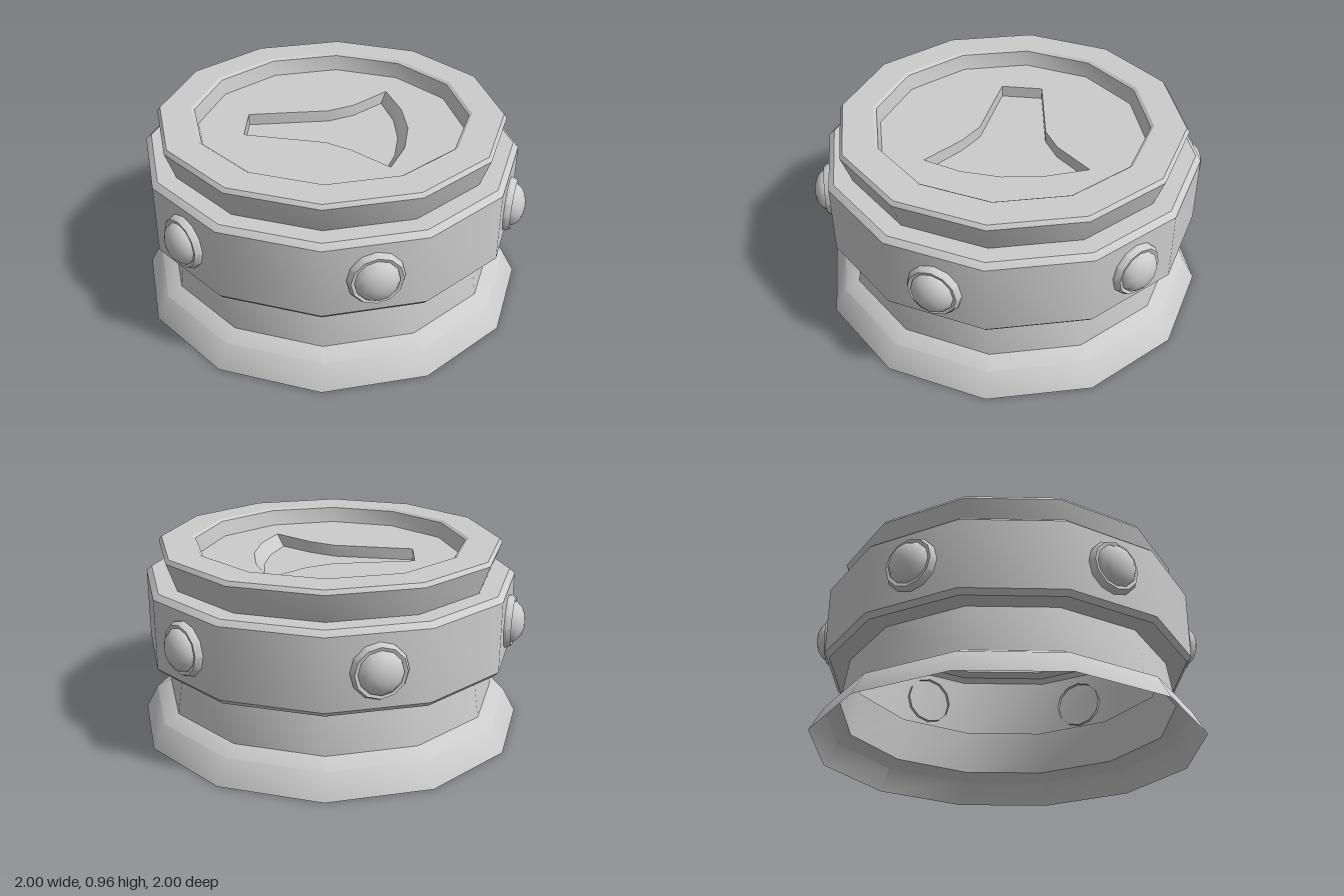
import * as THREE from 'three';
import { toCreasedNormals } from 'three/addons/utils/BufferGeometryUtils.js';

const SIDES = 12;
const FLOOR_Y = 0.87;
const RECESS_Y = 0.81;
const FLOOR_R = 0.675;

const material = new THREE.MeshStandardMaterial({ color: 0xcccccc, side: THREE.DoubleSide });

function addMesh(parent, name, geometry) {
  const mesh = new THREE.Mesh(geometry, material);
  mesh.name = name;
  parent.add(mesh);
  return mesh;
}

// Revolved profile: smooth around, sharp at the horizontal edges
function lathe(profile, crease) {
  const points = profile.map(([r, y]) => new THREE.Vector2(r, y));
  return toCreasedNormals(new THREE.LatheGeometry(points, SIDES), crease);
}

// Flat horizontal face from an [x, z] outline, with optional hole
function flatFace(outline, y, hole) {
  const toVec = ([x, z]) => new THREE.Vector2(x, -z);
  const shape = new THREE.Shape(outline.map(toVec));
  if (hole) shape.holes.push(new THREE.Path(hole.map(toVec)));
  return new THREE.ShapeGeometry(shape).rotateX(-Math.PI / 2).translate(0, y, 0);
}

// Wall joining two [x, z] outlines with the same number of points
function loopWall(top, topY, bottom, bottomY) {
  const positions = [];
  top.forEach(([x, z], i) => {
    const j = (i + 1) % top.length;
    const a = [x, topY, z];
    const b = [top[j][0], topY, top[j][1]];
    const c = [bottom[j][0], bottomY, bottom[j][1]];
    const d = [bottom[i][0], bottomY, bottom[i][1]];
    positions.push(...a, ...c, ...b, ...a, ...d, ...c);
  });
  const geometry = new THREE.BufferGeometry();
  geometry.setAttribute('position', new THREE.Float32BufferAttribute(positions, 3));
  return toCreasedNormals(geometry, 0.5);
}

export function createModel() {
  const model = new THREE.Group();
  model.name = 'pedestalButton';

  // Hollow twelve-sided shell, open at the bottom
  addMesh(model, 'shell', lathe([
    [1, 0], [0.935, 0.12], [0.86, 0.16],              // flared foot
    [0.825, 0.395],                                   // neck
    [0.93, 0.395], [0.953, 0.42],                     // band
    [0.953, 0.775], [0.925, 0.8],
    [0.83, 0.8],                                      // flared top
    [0.88, 0.94], [0.865, 0.96],
    [0.705, 0.96], [0.69, 0.95], [FLOOR_R, FLOOR_Y],  // rim and dish wall
  ], 0.6));

  // Dish floor with a fan-shaped recess
  const floorOutline = [];
  for (let i = 0; i < SIDES; i++) {
    const a = (i / SIDES) * Math.PI * 2;
    floorOutline.push([Math.cos(a) * FLOOR_R, Math.sin(a) * FLOOR_R]);
  }
  const stem = [[0.11, 0.235], [-0.02, 0.165], [-0.43, 0.105], [-0.43, -0.11], [-0.02, -0.17], [0.11, -0.24]];
  const recessTop = [...stem, [0.28, -0.41], [0.36, -0.2], [0.39, 0], [0.37, 0.2], [0.3, 0.39]];
  const recessBottom = [...stem, [0.255, -0.385], [0.32, -0.19], [0.34, 0], [0.322, 0.18], [0.265, 0.355]];
  addMesh(model, 'dishFloor', flatFace(floorOutline, FLOOR_Y, recessTop));
  addMesh(model, 'recessWall', loopWall(recessTop, FLOOR_Y, recessBottom, RECESS_Y));
  addMesh(model, 'recessFloor', flatFace(recessBottom, RECESS_Y));

  // Six studs on alternate faces of the band
  const bezelGeometry = lathe([[0.135, -0.02], [0.135, 0.012], [0.122, 0.035], [0.105, 0.03]], 0.6);
  const domeProfile = [];
  for (let i = 0; i <= 5; i++) {
    const a = (i / 5) * Math.PI / 2;
    domeProfile.push([0.108 * Math.cos(a), 0.02 + 0.07 * Math.sin(a)]);
  }
  const domeGeometry = lathe(domeProfile, 0.8);
  for (let i = 0; i < 6; i++) {
    const angle = Math.PI / 12 + (i * Math.PI) / 3;
    const stud = new THREE.Group();
    stud.name = 'stud' + (i + 1);
    addMesh(stud, 'bezel', bezelGeometry);
    addMesh(stud, 'dome', domeGeometry);
    stud.rotation.set(Math.PI / 2, angle, 0, 'YXZ');
    stud.position.set(Math.sin(angle) * 0.92, i === 1 ? 0.585 : 0.6, Math.cos(angle) * 0.92);
    model.add(stud);
  }

  return model;
}
